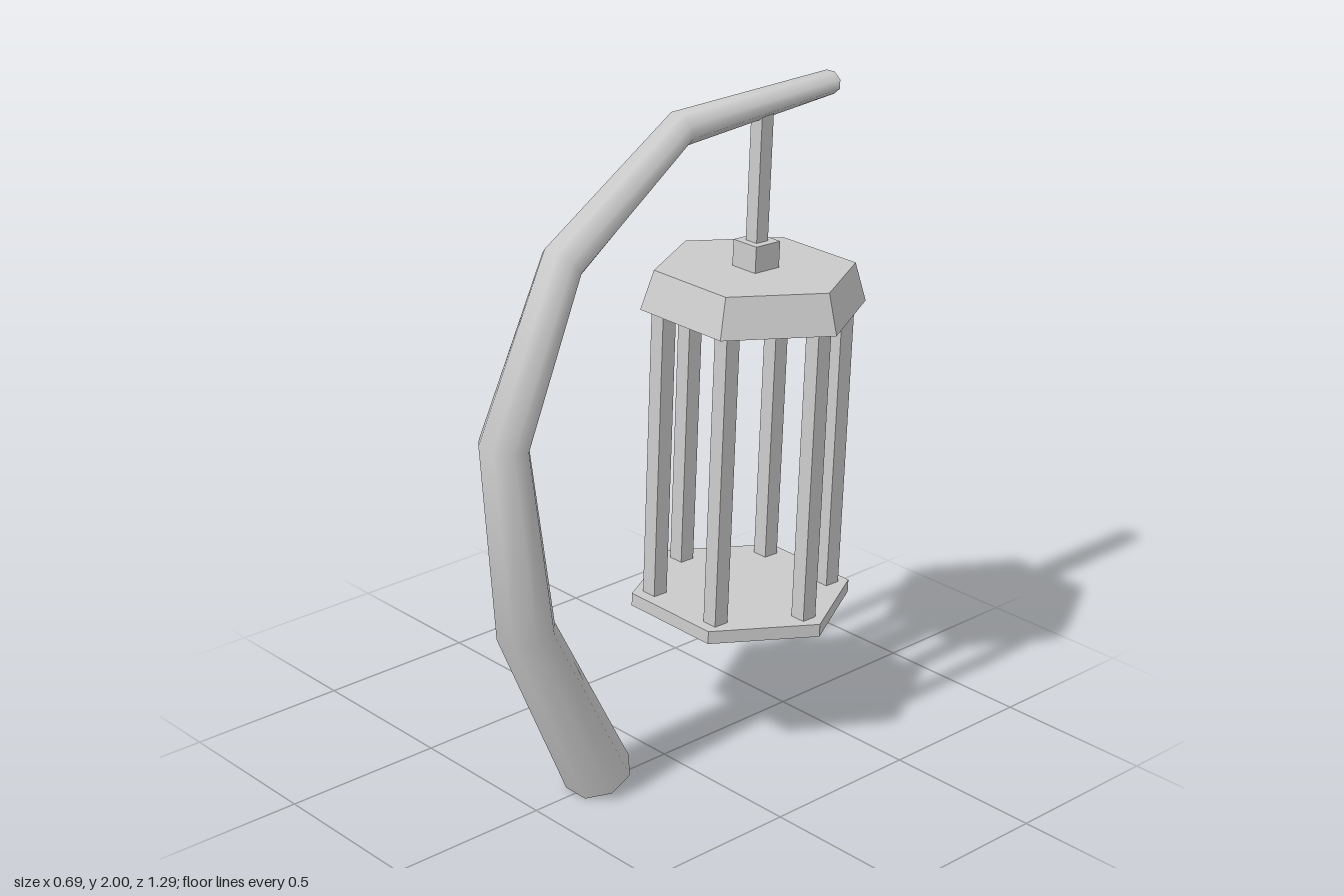
import * as THREE from 'three';

const smooth = new THREE.MeshStandardMaterial({ color: 0xcccccc });
const flat = new THREE.MeshStandardMaterial({ color: 0xcccccc, flatShading: true });
const shell = new THREE.MeshStandardMaterial({ color: 0xcccccc, flatShading: true, side: THREE.DoubleSide });

function add(parent, name, geometry, material, x = 0, y = 0, z = 0) {
  const mesh = new THREE.Mesh(geometry, material);
  mesh.name = name;
  mesh.position.set(x, y, z);
  parent.add(mesh);
  return mesh;
}

// Octagonal tapering pole: each section is [outer z, outer y, inner z, inner y, half width]
function poleGeometry(sections) {
  const sides = 8, pos = [], idx = [];
  const ring = ([oz, oy, iz, iy, hw]) => {
    for (let j = 0; j < sides; j++) {
      const a = ((j + 0.5) / sides) * Math.PI * 2, k = Math.cos(Math.PI / sides);
      const c = Math.cos(a) / k, s = Math.sin(a) / k;
      pos.push(c * hw, (oy + iy) / 2 + s * (oy - iy) / 2, (oz + iz) / 2 + s * (oz - iz) / 2);
    }
  };
  sections.forEach(ring);
  for (let i = 0; i < sections.length - 1; i++) {
    for (let j = 0; j < sides; j++) {
      const a = i * sides + j, b = i * sides + (j + 1) % sides;
      idx.push(a, a + sides, b, b, a + sides, b + sides);
    }
  }
  // End caps on their own rings so the rims stay sharp
  for (const end of [0, sections.length - 1]) {
    const s = pos.length / 3;
    ring(sections[end]);
    for (let j = 1; j < sides - 1; j++) {
      if (end === 0) idx.push(s, s + j, s + j + 1);
      else idx.push(s, s + j + 1, s + j);
    }
  }
  const g = new THREE.BufferGeometry();
  g.setAttribute('position', new THREE.Float32BufferAttribute(pos, 3));
  g.setIndex(idx);
  g.computeVertexNormals();
  return g;
}

export function createModel() {
  const model = new THREE.Group();
  model.name = 'hangingLantern';

  // Curved pole, from foot to tip
  add(model, 'curvedPole', poleGeometry([
    [0.35, 0.003, 0.18, 0.085, 0.104],
    [0.60, 0.575, 0.45, 0.61, 0.09],
    [0.65, 1.18, 0.525, 1.165, 0.076],
    [0.41, 1.69, 0.335, 1.605, 0.063],
    [-0.045, 1.985, -0.065, 1.895, 0.053],
    [-0.645, 2.0, -0.645, 1.935, 0.039],
  ]), smooth);

  // Lantern hangs slightly askew; its origin is the centre of the lid's lower rim
  const lantern = new THREE.Group();
  lantern.name = 'lantern';
  lantern.position.set(0, 1.355, -0.35);
  lantern.rotation.set(-0.03, 0, -0.012);
  model.add(lantern);

  // Hollow hexagonal lid, open below
  const lidProfile = [[0.337, 0], [0.3, 0.118], [0, 0.118]].map(([r, y]) => new THREE.Vector2(r, y));
  add(lantern, 'lid', new THREE.LatheGeometry(lidProfile, 6, Math.PI / 2), shell);

  // Hexagonal floor
  const floor = new THREE.CylinderGeometry(0.337, 0.337, 0.04, 6).rotateY(Math.PI / 2);
  add(lantern, 'floorPlate', floor, flat, 0, -0.92, 0);

  // Six corner posts
  for (let i = 0; i < 6; i++) {
    const a = (i / 6) * Math.PI * 2;
    add(lantern, 'post', new THREE.BoxGeometry(0.05, 0.93, 0.05), flat,
      0.267 * Math.cos(a), -0.445, 0.267 * Math.sin(a));
  }

  // Block on the lid and the hanger rod reaching the pole
  add(lantern, 'capBlock', new THREE.BoxGeometry(0.095, 0.1, 0.095), flat, 0, 0.147, 0);
  add(lantern, 'hangerRod', new THREE.BoxGeometry(0.045, 0.4, 0.045), flat, 0, 0.375, 0);

  return model;
}
